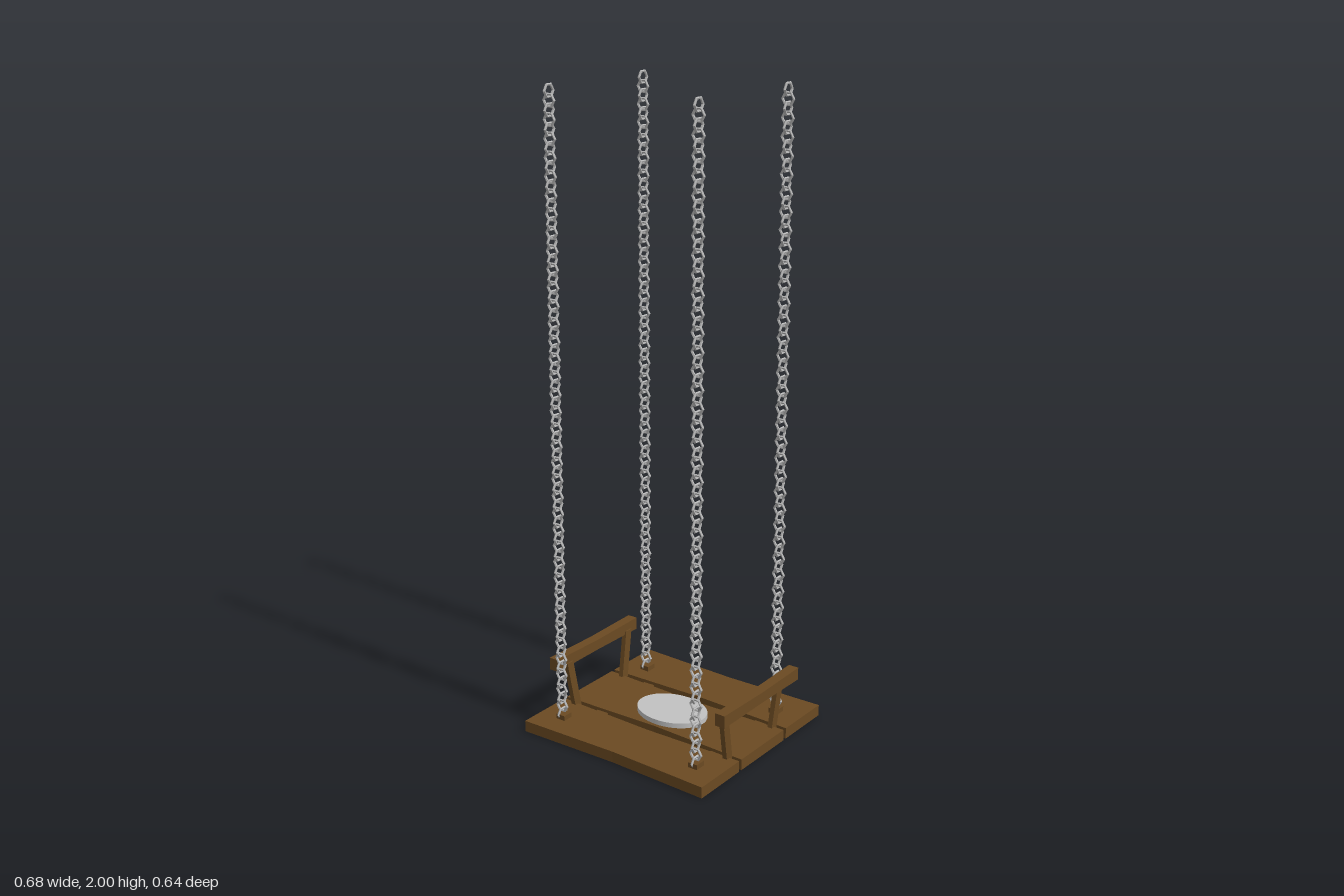
import * as THREE from 'three';
import { mergeGeometries } from 'three/addons/utils/BufferGeometryUtils.js';

const wood = new THREE.MeshStandardMaterial({ color: 0x6b4a22 });
wood.name = 'wood';
const steel = new THREE.MeshStandardMaterial({ color: 0xb4b4b4 });
steel.name = 'steel';
const pad = new THREE.MeshStandardMaterial({ color: 0xc2c2c2 });
pad.name = 'pale grey pad';

const SEAT = 0.036; // top of the planks

function add(parent, name, geometry, material) {
  const mesh = new THREE.Mesh(geometry, material);
  mesh.name = name;
  parent.add(mesh);
  return mesh;
}

function box(x0, x1, y0, y1, z0, z1) {
  return new THREE.BoxGeometry(x1 - x0, y1 - y0, z1 - z0)
    .translate((x0 + x1) / 2, (y0 + y1) / 2, (z0 + z1) / 2);
}

// Bar from u0 to u1 whose two long edges bend at the middle
function bentBar(u0, u1, lowEnd, lowMid, highEnd, highMid, depth) {
  const m = (u0 + u1) / 2;
  const shape = new THREE.Shape([
    [u0, lowEnd], [m, lowMid], [u1, lowEnd],
    [u1, highEnd], [m, highMid], [u0, highEnd],
  ].map(([u, v]) => new THREE.Vector2(u, v)));
  return new THREE.ExtrudeGeometry(shape, { depth, bevelEnabled: false });
}

// Box post whose top is shifted in x and z
function leaningPost(x, y0, y1, zBottom, zTop, leanX) {
  const geometry = new THREE.BoxGeometry(0.016, y1 - y0, 0.028);
  const p = geometry.attributes.position;
  for (let i = 0; i < p.count; i++) {
    const top = p.getY(i) > 0;
    p.setX(i, p.getX(i) + x + (top ? leanX : 0));
    p.setZ(i, p.getZ(i) + (top ? zTop : zBottom));
    p.setY(i, top ? y1 : y0);
  }
  geometry.computeVertexNormals();
  return geometry;
}

// Chain of six-sided links, each turned a quarter from the last
function chainGeometry() {
  const links = [];
  const pitch = 0.0268;
  for (let i = 0; i < 73; i++) {
    const link = new THREE.TorusGeometry(0.0195, 0.0043, 5, 6);
    if (i % 2 === 0) link.rotateY(Math.PI / 2);
    links.push(link.translate(0, 1.979 - i * pitch, 0));
  }
  return mergeGeometries(links);
}

export function createModel() {
  const model = new THREE.Group();
  model.name = 'swing';

  // Seat planks: z at ends and middle of each long edge
  const planks = [
    ['backPlank', -0.32, -0.31, -0.128, -0.138],
    ['middlePlank', -0.115, -0.104, 0.115, 0.103],
    ['frontPlank', 0.127, 0.136, 0.318, 0.308],
  ];
  for (const [name, a, b, c, d] of planks) {
    const geometry = bentBar(-0.34, 0.34, a, b, c, d, SEAT);
    add(model, name, geometry.rotateX(Math.PI / 2).translate(0, SEAT, 0), wood);
  }

  // Battens joining the planks
  for (const x of [-0.197, 0.245]) {
    add(model, 'batten', box(x - 0.02, x + 0.02, 0.008, 0.026, -0.2, 0.2), wood);
  }

  // Oval pad on the seat
  const oval = add(model, 'ovalPad', new THREE.CylinderGeometry(1, 1, 0.016, 48), pad);
  oval.scale.set(0.12, 1, 0.091);
  oval.position.set(-0.003, SEAT + 0.008, 0.001);

  // Armrests: rail on two splayed posts
  const arms = [
    { name: 'rightArmrest', x0: -0.324, x1: -0.291, z0: -0.187, z1: 0.213, post: -0.29, lean: -0.004 },
    { name: 'leftArmrest', x0: 0.305, x1: 0.339, z0: -0.193, z1: 0.205, post: 0.297, lean: 0.006 },
  ];
  for (const a of arms) {
    const arm = new THREE.Group();
    arm.name = a.name;
    const rail = bentBar(a.z0, a.z1, 0.177, 0.179, 0.217, 0.213, a.x1 - a.x0);
    add(arm, 'rail', rail.rotateY(-Math.PI / 2).translate(a.x1, 0, 0), wood);
    add(arm, 'frontPost', leaningPost(a.post, 0.01, 0.19, 0.123, 0.158, a.lean), wood);
    add(arm, 'backPost', leaningPost(a.post, 0.01, 0.19, -0.11, -0.14, a.lean), wood);
    model.add(arm);
  }

  // Four chains, each on a small block
  const links = chainGeometry().toNonIndexed();
  links.computeVertexNormals();
  for (const x of [-0.263, 0.253]) {
    for (const z of [-0.202, 0.228]) {
      add(model, 'chain', links, steel).position.set(x, 0, z);
      const bx = x + (x < 0 ? 0.006 : 0.001);
      add(model, 'chainBlock', box(bx - 0.016, bx + 0.016, SEAT, 0.052, z - 0.018, z + 0.018), wood);
    }
  }
  return model;
}
